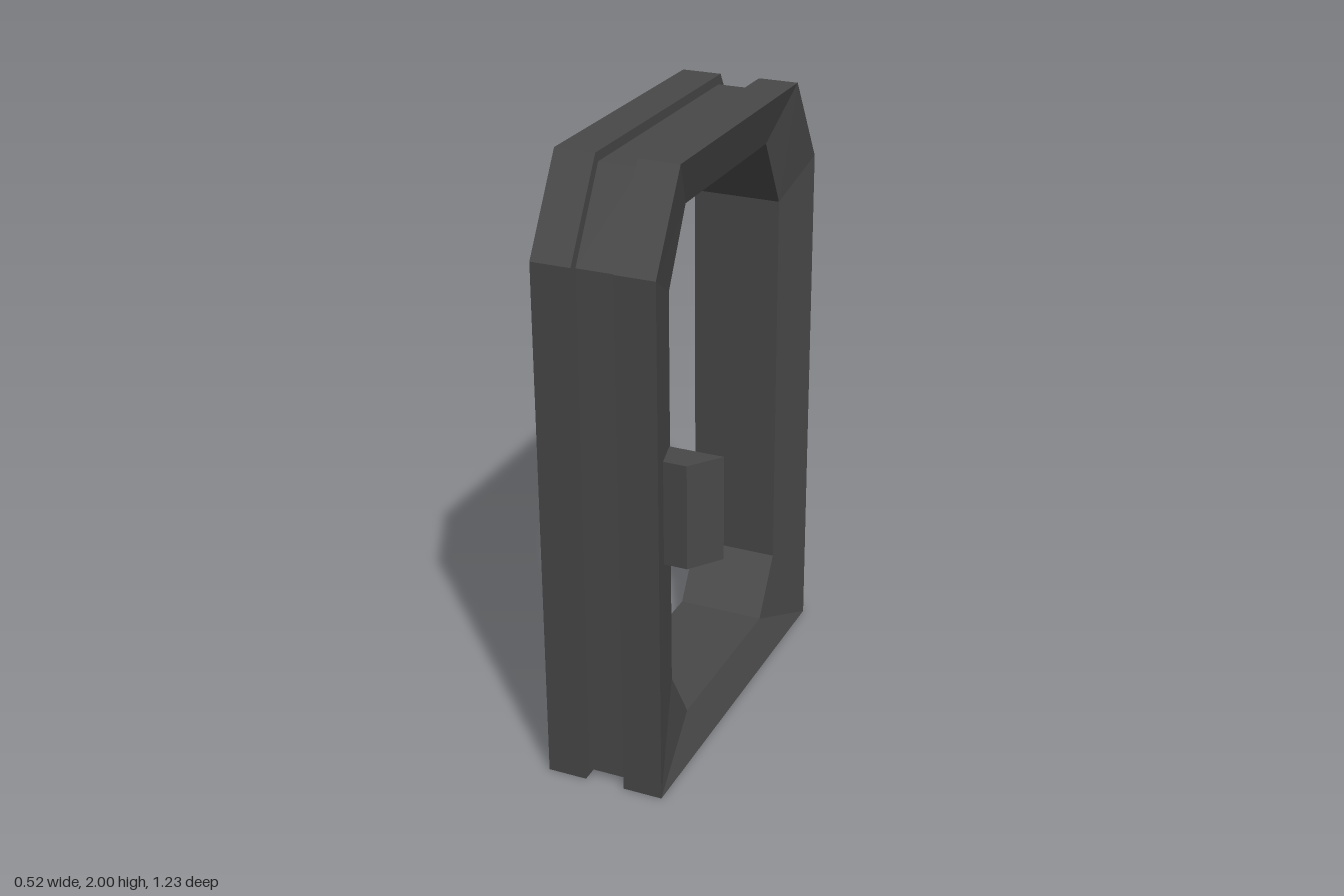
import * as THREE from 'three';

// Half outlines [z, y] from bottom to top; the square bottom corner counts twice
const OUTER = [[0.617, 0], [0.617, 0], [0.617, 1.716], [0.447, 2]];
const GROOVE = [[0.593, 0.024], [0.593, 0.024], [0.587, 1.705], [0.43, 1.97]];
const OPENING = [[0.31, 0.125], [0.427, 0.315], [0.427, 1.61], [0.307, 1.837]];

// Full symmetric loop of points at a given x
const loop = (half, x) => [
  ...half,
  ...half.slice().reverse().map(([z, y]) => [-z, y]),
].map(([z, y]) => new THREE.Vector3(x, y, z));

// Flat-shaded skin through loops, closed in both directions
function skin(loops) {
  const points = [];
  const addTriangle = (a, b, c) => {
    if (new THREE.Triangle(a, b, c).getArea() > 1e-8) points.push(a, b, c);
  };
  loops.forEach((from, i) => {
    const to = loops[(i + 1) % loops.length];
    from.forEach((a, j) => {
      const next = (j + 1) % from.length;
      addTriangle(a, to[j], to[next]);
      addTriangle(a, to[next], from[next]);
    });
  });
  const geometry = new THREE.BufferGeometry().setFromPoints(points);
  geometry.computeVertexNormals();
  return geometry;
}

export function createModel() {
  const darkGrey = new THREE.MeshStandardMaterial({ color: 0x484848 });
  darkGrey.name = 'dark grey';

  const model = new THREE.Group();
  model.name = 'windowFrame';

  // Frame: side faces slope in towards the opening, groove around the rim
  const frame = new THREE.Mesh(skin([
    loop(OPENING, -0.212),
    loop(OUTER, -0.26),
    loop(OUTER, -0.131),
    loop(GROOVE, -0.131),
    loop(GROOVE, 0),
    loop(OUTER, 0),
    loop(OUTER, 0.13),
    loop(OPENING, 0.082),
  ]), darkGrey);
  frame.name = 'frame';
  model.add(frame);

  // Wedge-shaped latch on the left face, drawn in plan and raised
  const plan = new THREE.Shape([[0.11, -0.538], [0.185, -0.538], [0.26, -0.438], [0.083, -0.438]]
    .map(([x, y]) => new THREE.Vector2(x, y)));
  const latchGeometry = new THREE.ExtrudeGeometry(plan, { depth: 0.34, bevelEnabled: false });
  latchGeometry.rotateX(-Math.PI / 2).translate(0, 0.787, 0);
  const latch = new THREE.Mesh(latchGeometry, darkGrey);
  latch.name = 'latch';
  model.add(latch);

  return model;
}
